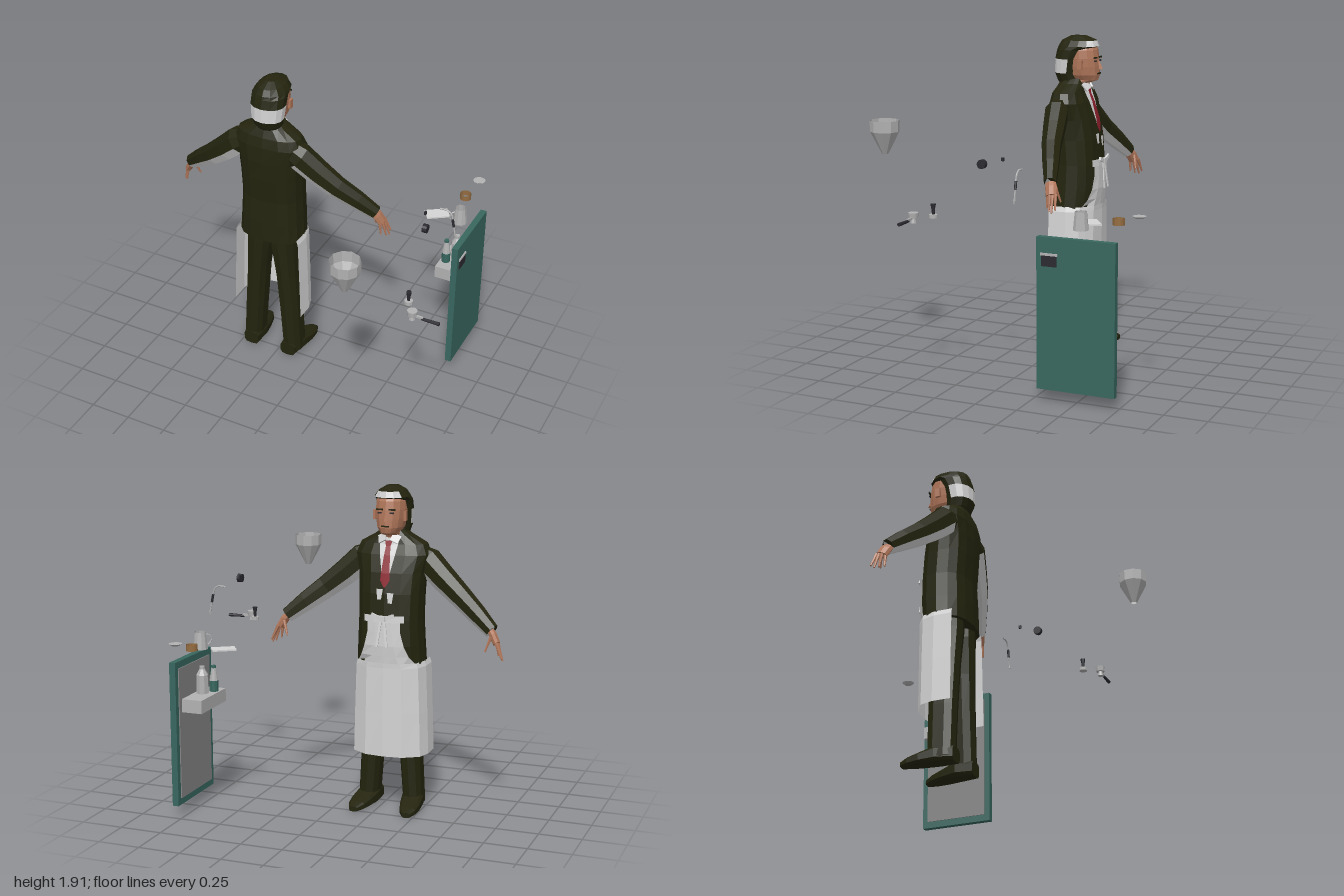
import * as THREE from 'three';

const mat = (name, color, side = THREE.DoubleSide) => {
  const m = new THREE.MeshStandardMaterial({ color, side });
  m.name = name;
  return m;
};
const V = (x, y, z) => new THREE.Vector3(x, y, z);
const X = V(1, 0, 0), Y = V(0, 1, 0), Z = V(0, 0, 1);

export function createModel() {
  const cloth = mat('dark cloth', 0x24240f), white = mat('white linen', 0xd4d4d4);
  const skin = mat('skin', 0xb0765a), red = mat('tie red', 0x8c1f2b);
  const teal = mat('teal enamel', 0x38675f), steel = mat('steel', 0xb2b2b2);
  const black = mat('black plastic', 0x2a2a30), wood = mat('cork brown', 0x946c40);
  const grey = mat('panel grey', 0x858585);

  const root = new THREE.Group();
  root.name = 'baristaAndTools';
  const person = new THREE.Group();
  person.name = 'barista';
  person.position.x = -0.3;
  root.add(person);

  const add = (parent, name, geo, material, x = 0, y = 0, z = 0) => {
    const g = geo.index ? geo.toNonIndexed() : geo;
    g.computeVertexNormals();
    const m = new THREE.Mesh(g, material);
    m.name = name;
    m.position.set(x, y, z);
    parent.add(m);
    return m;
  };

  // Cross-section around c, spanned by u and v; e < 1 makes it boxier
  const ring = (c, u, v, ru, rv, n = 12, e = 1, off = 0) => Array.from({ length: n }, (_, j) => {
    const a = (j / n) * Math.PI * 2 + off, f = t => Math.sign(t) * Math.abs(t) ** e;
    return c.clone().addScaledVector(u, f(Math.cos(a)) * ru).addScaledVector(v, f(Math.sin(a)) * rv);
  });
  // Skin a list of rings; pick(i, j) chooses the material of each facet
  const loft = (name, rings, mats, pick = () => 0, closed = true, parent = person) => {
    const tris = mats.map(() => []), n = rings[0].length;
    for (let i = 0; i + 1 < rings.length; i++)
      for (let j = 0; j < (closed ? n : n - 1); j++) {
        const k = (j + 1) % n, a = rings[i], b = rings[i + 1];
        tris[pick(i, j)].push(a[j], a[k], b[k], a[j], b[k], b[j]);
      }
    if (closed) {
      const a = rings[0], b = rings[rings.length - 1];
      for (let j = 1; j + 1 < n; j++) {
        tris[pick(0, j)].push(a[0], a[j + 1], a[j]);
        tris[pick(rings.length - 2, j)].push(b[0], b[j], b[j + 1]);
      }
    }
    const geo = new THREE.BufferGeometry().setFromPoints(tris.flat());
    let start = 0;
    tris.forEach((t, i) => { geo.addGroup(start, t.length, i); start += t.length; });
    return add(parent, name, geo, mats);
  };
  // Upright body from rows of [y, half width, back z, front z, centre x]
  const upright = (rows, n, e) => rows.map(([y, hw, zb, zf, cx = 0]) =>
    ring(V(cx, y, (zb + zf) / 2), Z, X, (zb - zf) / 2, hw, n, e));

  // Jacket
  const body = [[0.87, 0.205, 0.09, -0.19], [1.0, 0.197, 0.088, -0.205], [1.15, 0.19, 0.08, -0.205],
    [1.3, 0.192, 0.09, -0.195], [1.42, 0.2, 0.092, -0.175], [1.52, 0.225, 0.085, -0.145],
    [1.58, 0.2, 0.07, -0.12], [1.63, 0.11, 0.05, -0.11], [1.66, 0.07, 0.02, -0.1]];
  loft('jacket', upright(body, 16, 0.8), [cloth]);
  const frontZ = (x, y) => {
    let i = 0;
    while (i < body.length - 2 && body[i + 1][0] < y) i++;
    const t = (y - body[i][0]) / (body[i + 1][0] - body[i][0]);
    const [hw, zb, zf] = [1, 2, 3].map(k => body[i][k] + (body[i + 1][k] - body[i][k]) * t);
    return (zb + zf) / 2 - (zb - zf) / 2 * Math.max(0, 1 - Math.abs(x / hw) ** 2.5) ** 0.4;
  };
  // Thin cloth lying on the front, rows of [y, half width, centre x]
  const strip = (name, rows, material, gap) => loft(name, rows.map(([y, hw, cx = 0]) =>
    [1, 0.5, 0, -0.5, -1].map(t => V(cx + t * hw, y, frontZ(cx + t * hw, y) - gap))), [material], () => 0, false);
  strip('shirtFront', [[1.36, 0.005], [1.42, 0.025], [1.52, 0.045], [1.58, 0.055], [1.63, 0.06]], white, 0.005);
  strip('tie', [[1.34, 0.004], [1.38, 0.028], [1.42, 0.026], [1.52, 0.018], [1.57, 0.014], [1.6, 0.022]], red, 0.011);
  for (const [cx, y] of [[-0.035, 1.25], [0.03, 1.27]])
    strip('shirtGap', [[y, 0.012, cx], [y + 0.06, 0.02, cx]], white, 0.006);

  // Apron: wrapped skirt, front panel, waistband and knot
  const skirt = [[0.34, 0.228, 0], [0.6, 0.22, 0.002], [0.87, 0.21, 0.004], [0.9, 0.2, 0.006]];
  const half = [[1, 0.05], [1.01, -0.06], [0.9, -0.14], [0.5, -0.2], [0, -0.212]];
  const section = [...half, ...half.slice(0, -1).reverse().map(([x, z]) => [-x, z])];
  loft('apronSkirt', skirt.map(([y, hw, d]) => section.map(([x, z]) => V(x * hw, y, z - d))),
    [white], () => 0, false);
  strip('apronFront', [[0.87, 0.19], [0.94, 0.145], [1.0, 0.12], [1.08, 0.1], [1.15, 0.1]], white, 0.012);
  strip('waistband', [[1.14, 0.12], [1.18, 0.12]], white, 0.016);
  add(person, 'apronKnot', new THREE.BoxGeometry(0.035, 0.03, 0.02), white, 0, 1.165, -0.228);
  for (const s of [-1, 1]) {
    const loop = add(person, 'bowLoop', new THREE.BoxGeometry(0.06, 0.022, 0.012), white, s * 0.04, 1.175, -0.228);
    loop.rotation.z = s * 0.35;
    const tail = add(person, 'apronString', new THREE.BoxGeometry(0.014, 0.16, 0.006), white, s * 0.02, 1.08, -0.235);
    tail.rotation.set(0.1, 0, s * 0.12);
  }

  for (const s of [-1, 1]) {
    // Trouser leg and shoe
    loft('trouserLeg', upright([[0.03, 0.06, 0.045, -0.12, s * 0.14], [0.34, 0.064, 0.045, -0.125, s * 0.12],
      [0.6, 0.066, 0.05, -0.13, s * 0.1], [0.82, 0.078, 0.06, -0.14, s * 0.08],
      [0.95, 0.08, 0.06, -0.14, s * 0.08]], 10, 0.8), [cloth]);
    loft('shoe', [[0.13, 0.045, 0.05, 0.045], [0.137, -0.06, 0.066, 0.05], [0.15, -0.15, 0.062, 0.035],
      [0.158, -0.22, 0.05, 0.025], [0.163, -0.268, 0.025, 0.016]].map(([x, z, hw, hh]) =>
      ring(V(s * x, hh, z), Y, X, hh, hw, 10, 0.6)), [cloth]);

    // Sleeve with a pale underside
    const path = [[0.1, 1.53, 0, 0.06], [0.2, 1.475, -0.005, 0.086], [0.3, 1.385, -0.03, 0.08],
      [0.41, 1.295, -0.06, 0.07], [0.52, 1.21, -0.105, 0.06], [0.625, 1.125, -0.148, 0.045]];
    const W = V(s * 0.74, -0.61, -0.25).normalize();
    const U = Y.clone().addScaledVector(W, -W.y).normalize(), S = W.clone().cross(U);
    loft('sleeve', path.map(([x, y, z, r]) => ring(V(s * x, y, z), U, S, r, r * 0.85, 8, 1, Math.PI / 8)),
      [cloth, white], (i, j) => (i > 0 && j >= 2 && j <= 4 ? 1 : 0));

    // Hand
    const D = V(s * 0.5, -0.8, -0.25).normalize();
    const A = X.clone().multiplyScalar(s).addScaledVector(D, -D.x * s).normalize(), B = D.clone().cross(A);
    loft('palm', [[0.61, 1.14, -0.142, 0.03], [0.635, 1.105, -0.158, 0.038], [0.66, 1.06, -0.17, 0.036]]
      .map(([x, y, z, r]) => ring(V(s * x, y, z), A, B, r * 0.6, r, 8)), [skin]);
    const fingers = [[0.662, 1.07, -0.198, 0.7, 0.985, -0.212], [0.668, 1.065, -0.182, 0.702, 0.968, -0.19],
      [0.665, 1.065, -0.164, 0.69, 0.972, -0.168], [0.655, 1.065, -0.147, 0.665, 0.985, -0.145],
      [0.63, 1.1, -0.185, 0.602, 1.015, -0.205]];
    for (const [x, y, z, tx, ty, tz] of fingers) {
      const a = V(s * x, y, z), d = V(s * tx, ty, tz).sub(a);
      const f = add(person, 'finger', new THREE.CylinderGeometry(0.005, 0.011, d.length(), 6), skin);
      f.position.copy(a).addScaledVector(d, 0.5);
      f.quaternion.setFromUnitVectors(Y, d.normalize());
    }

    // Ear, brow, eye and collar
    add(person, 'ear', new THREE.BoxGeometry(0.016, 0.055, 0.03), skin, s * 0.092, 1.745, -0.105);
    add(person, 'brow', new THREE.BoxGeometry(0.04, 0.009, 0.009), cloth, s * 0.037, 1.785, -0.182);
    add(person, 'eye', new THREE.BoxGeometry(0.024, 0.008, 0.008), black, s * 0.036, 1.765, -0.182);
    const collar = add(person, 'collar', new THREE.BoxGeometry(0.05, 0.05, 0.009), white, s * 0.04, 1.615, -0.125);
    collar.rotation.set(0.5, s * -0.4, s * -0.3);
  }

  // Head, nose and mouth
  loft('head', upright([[1.58, 0.055, 0, -0.1], [1.63, 0.06, 0, -0.125], [1.65, 0.055, 0.01, -0.185],
    [1.68, 0.075, 0.03, -0.192], [1.73, 0.085, 0.04, -0.19], [1.78, 0.09, 0.05, -0.186],
    [1.83, 0.088, 0.05, -0.178], [1.87, 0.07, 0.03, -0.16]], 14, 0.9), [skin]);
  const nose = add(person, 'nose', new THREE.ConeGeometry(0.018, 0.06, 4), skin, 0, 1.745, -0.192);
  nose.rotation.x = 0.15;
  add(person, 'mouth', new THREE.BoxGeometry(0.045, 0.008, 0.009), cloth, 0, 1.69, -0.19);

  // Hair with a pale band at the back and a pale forelock
  loft('hair', upright([[1.6, 0.07, 0.03, -0.07], [1.64, 0.085, 0.065, -0.085], [1.69, 0.098, 0.085, -0.08],
    [1.775, 0.106, 0.082, -0.1], [1.83, 0.106, 0.07, -0.13], [1.85, 0.102, 0.065, -0.185],
    [1.885, 0.078, 0.045, -0.175], [1.912, 0.035, -0.01, -0.11]], 14, 0.95), [cloth, white],
    (i, j) => ((i === 2 && (j < 4 || j > 9)) || (i === 5 && j > 4 && j < 9) ? 1 : 0));

  const box = (name, m, x0, x1, y0, y1, z0, z1) => add(root, name,
    new THREE.BoxGeometry(x1 - x0, y1 - y0, z1 - z0), m, (x0 + x1) / 2, (y0 + y1) / 2, (z0 + z1) / 2);
  const cyl = (name, m, rt, rb, y0, y1, x, z, n = 10, open = false) => add(root, name,
    new THREE.CylinderGeometry(rt, rb, y1 - y0, n, 1, open), m, x, (y0 + y1) / 2, z);

  // Refrigerator door with inner lining, handle and shelf
  box('door', teal, 0.768, 0.806, 0.07, 0.925, -0.738, -0.28);
  box('doorLining', grey, 0.762, 0.769, 0.11, 0.885, -0.705, -0.313);
  box('doorHandle', black, 0.805, 0.812, 0.765, 0.825, -0.4, -0.31);
  box('handleRim', steel, 0.805, 0.814, 0.825, 0.838, -0.405, -0.305);
  box('doorShelf', steel, 0.637, 0.762, 0.622, 0.7, -0.677, -0.357);
  // Bottles
  cyl('bottleLabel', teal, 0.026, 0.026, 0.7, 0.765, 0.672, -0.44);
  cyl('bottleTop', steel, 0.014, 0.026, 0.765, 0.84, 0.672, -0.44);
  cyl('bottleCap', teal, 0.014, 0.014, 0.84, 0.855, 0.672, -0.44);
  cyl('cartonBody', steel, 0.036, 0.036, 0.7, 0.81, 0.715, -0.505, 8);
  cyl('cartonShoulder', steel, 0.016, 0.036, 0.81, 0.845, 0.715, -0.505, 8);
  cyl('cartonCap', steel, 0.016, 0.016, 0.845, 0.862, 0.715, -0.505, 8);

  // Milk jug, folded towel, cork ring and saucer
  cyl('jug', steel, 0.034, 0.044, 0.965, 1.065, 0.722, -0.505, 10, true);
  cyl('jugBase', steel, 0.043, 0.043, 0.963, 0.968, 0.722, -0.505);
  const handle = add(root, 'jugHandle', new THREE.TorusGeometry(0.03, 0.005, 5, 8, Math.PI), steel, 0.697, 1.015, -0.475);
  handle.rotation.set(0, -Math.PI * 0.75, -Math.PI / 2, 'YXZ');
  const towel = add(root, 'towel', new THREE.BoxGeometry(0.14, 0.009, 0.085), white, 0.573, 0.975, -0.507);
  towel.rotation.y = 0.6;
  cyl('corkRing', wood, 0.034, 0.034, 1.0, 1.035, 0.675, -0.705, 14, true);
  cyl('saucer', steel, 0.038, 0.022, 1.053, 1.065, 0.71, -0.835, 12);

  // Filter holder
  cyl('filterBasket', steel, 0.03, 0.026, 0.968, 1.0, 0.835, 0.457);
  cyl('filterSpout', steel, 0.012, 0.018, 0.94, 0.968, 0.835, 0.457, 8);
  const grip = cyl('filterGrip', black, 0.008, 0.011, 0, 0.105, 0.945, 0.457, 8);
  grip.position.y = 0.962;
  grip.rotation.z = Math.PI / 2;
  box('filterNeck', steel, 0.855, 0.9, 0.963, 0.975, 0.451, 0.463);
  // Tamper
  cyl('tamperBase', steel, 0.025, 0.025, 0.965, 0.985, 0.772, 0.365);
  cyl('tamperStem', black, 0.012, 0.008, 0.985, 1.025, 0.772, 0.365, 8);
  cyl('tamperKnob', black, 0.016, 0.013, 1.025, 1.045, 0.772, 0.365, 8);
  // Steam knob and switch
  const knob = cyl('steamKnob', black, 0.026, 0.026, 0, 0.028, 0.735, 0.078, 12);
  knob.position.y = 1.283;
  knob.rotation.z = Math.PI / 2;
  box('switch', black, 0.684, 0.695, 1.3, 1.32, -0.035, -0.018);

  // Steam wand
  const wand = new THREE.CatmullRomCurve3([V(0.725, 1.27, -0.16), V(0.775, 1.27, -0.16),
    V(0.798, 1.245, -0.16), V(0.812, 1.18, -0.16), V(0.825, 1.115, -0.16)]);
  add(root, 'steamWand', new THREE.TubeGeometry(wand, 10, 0.005, 6), steel);
  const sleeve = cyl('wandGrip', black, 0.008, 0.008, 0, 0.05, 0.809, -0.16, 8);
  sleeve.position.y = 1.195;
  sleeve.rotation.z = 0.2;
  cyl('wandTip', steel, 0.007, 0.005, 1.095, 1.117, 0.827, -0.16, 8);

  // Bean hopper
  cyl('hopperRim', steel, 0.087, 0.085, 1.4, 1.465, 0.575, 0.78, 10, true);
  cyl('hopperCone', steel, 0.085, 0.018, 1.27, 1.4, 0.575, 0.78, 10, true);
  return root;
}
